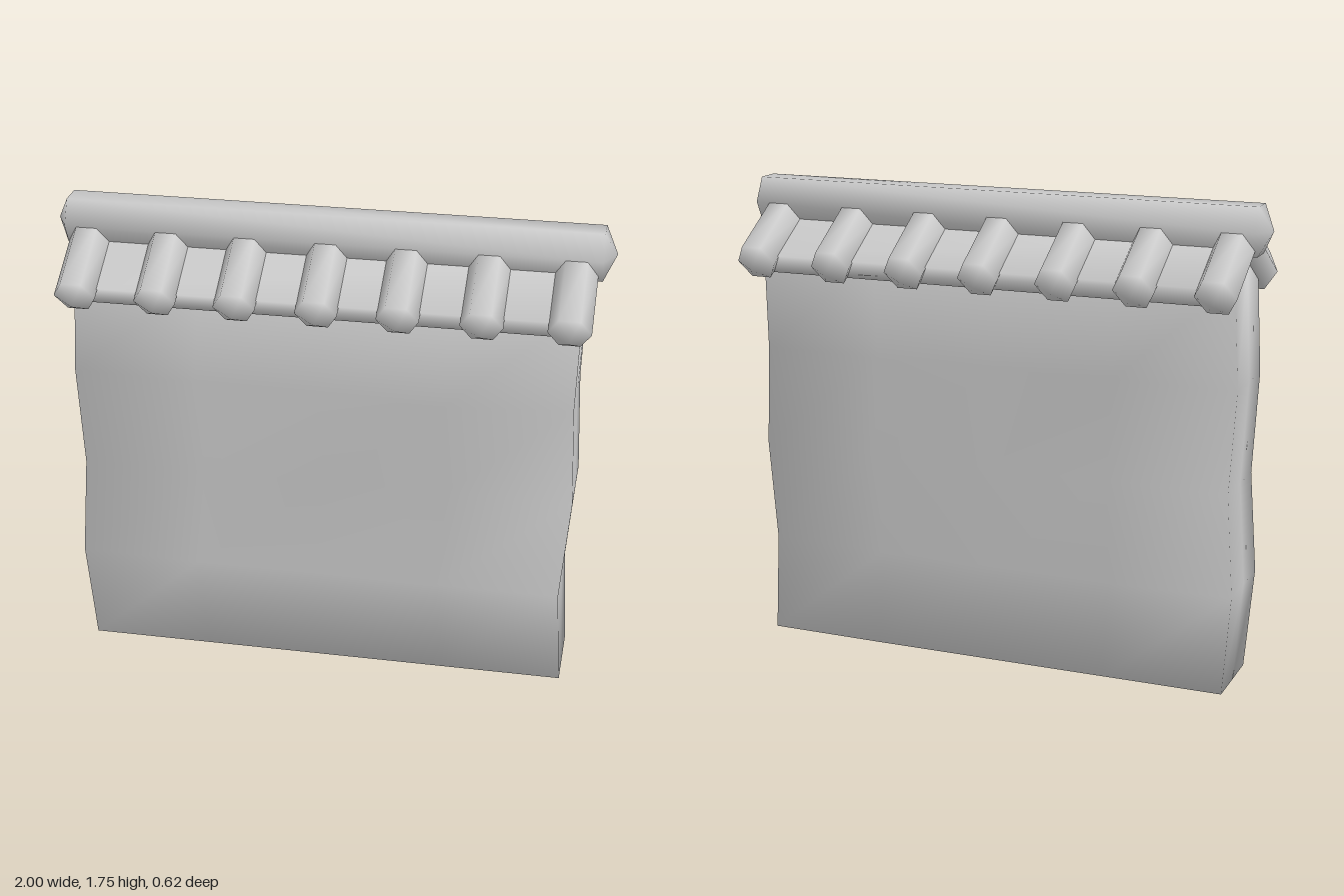
import * as THREE from 'three';
import { mergeVertices } from 'three/addons/utils/BufferGeometryUtils.js';

const material = new THREE.MeshStandardMaterial({ color: 0xcccccc });

// Weld all corners so the shading flows round every edge
function weld(geometry) {
  geometry.deleteAttribute('uv');
  geometry.deleteAttribute('normal');
  return mergeVertices(geometry, 1e-4);
}

function part(name, geometry, parent) {
  geometry.computeVertexNormals();
  const mesh = new THREE.Mesh(geometry, material);
  mesh.name = name;
  parent.add(mesh);
  return mesh;
}

// Six-sided rod along x with shallow pointed ends
function hexRod(radius, length, point, stretch) {
  const g = weld(new THREE.CylinderGeometry(radius, radius, length, 6, 1));
  const p = g.attributes.position;
  for (let i = 0; i < p.count; i++) {
    if (Math.hypot(p.getX(i), p.getZ(i)) < 1e-3) p.setY(i, p.getY(i) + Math.sign(p.getY(i)) * point);
  }
  return g.rotateZ(Math.PI / 2).scale(1, stretch, 1);
}

// Uneven plaster wall: offsets per height row (bottom to top) and column (right to left)
function wallGeometry() {
  const front = [
    [0.15, 0.15, 0.15, 0.15, 0.15],
    [0.16, 0.18, 0.17, 0.18, 0.18],
    [0.15, 0.15, 0.15, 0.14, 0.15],
    [0.15, 0.17, 0.18, 0.21, 0.155],
    [0.15, 0.15, 0.15, 0.15, 0.15],
  ];
  const back = [
    [0.15, 0.15, 0.15, 0.15, 0.145],
    [0.16, 0.18, 0.17, 0.16, 0.15],
    [0.16, 0.14, 0.16, 0.165, 0.15],
    [0.15, 0.15, 0.16, 0.16, 0.15],
    [0.15, 0.15, 0.15, 0.15, 0.145],
  ];
  const rightEnd = [-0.905, -0.935, -0.91, -0.93, -0.91];
  const leftEnd = [0.895, 0.875, 0.905, 0.89, 0.9];
  const g = weld(new THREE.BoxGeometry(4, 4, 2, 4, 4, 2));
  const p = g.attributes.position;
  for (let i = 0; i < p.count; i++) {
    const col = Math.round(p.getX(i) + 2), row = Math.round(p.getY(i) + 2), side = Math.round(p.getZ(i));
    const x = THREE.MathUtils.lerp(rightEnd[row], leftEnd[row], col / 4);
    const z = side > 0 ? front[row][col] : side < 0 ? -back[row][col] : 0;
    const peak = row === 4 && side === 0 ? 0.06 : 0;
    p.setXYZ(i, x, row * 0.375 + peak, z);
  }
  return g;
}

export function createModel() {
  const model = new THREE.Group();
  model.name = 'roofedWall';
  part('wall', wallGeometry(), model);

  // Ridge beam along the top
  part('ridge', hexRod(0.09, 1.91, 0.045, 1.12), model).position.y = 1.662;

  // Sloping roof slabs with raised tile ribs on both sides
  const slope = 0.54;
  const ribX = [-0.875, -0.585, -0.3, -0.01, 0.275, 0.565, 0.865];
  for (const s of [1, -1]) {
    const roof = new THREE.Group();
    roof.name = s > 0 ? 'frontRoof' : 'backRoof';
    model.add(roof);

    const slab = part('roofSlab', weld(new THREE.BoxGeometry(1.76, 0.08, 0.26)), roof);
    slab.position.set(0, 1.525, s * 0.109);
    slab.rotation.x = s * slope;

    for (const x of ribX) {
      const rib = part('roofRib', hexRod(0.075, 0.28, 0.045, 1.08).rotateY(Math.PI / 2), roof);
      rib.position.set(x, 1.542, s * 0.15);
      rib.rotation.x = s * slope;
    }
  }
  return model;
}
